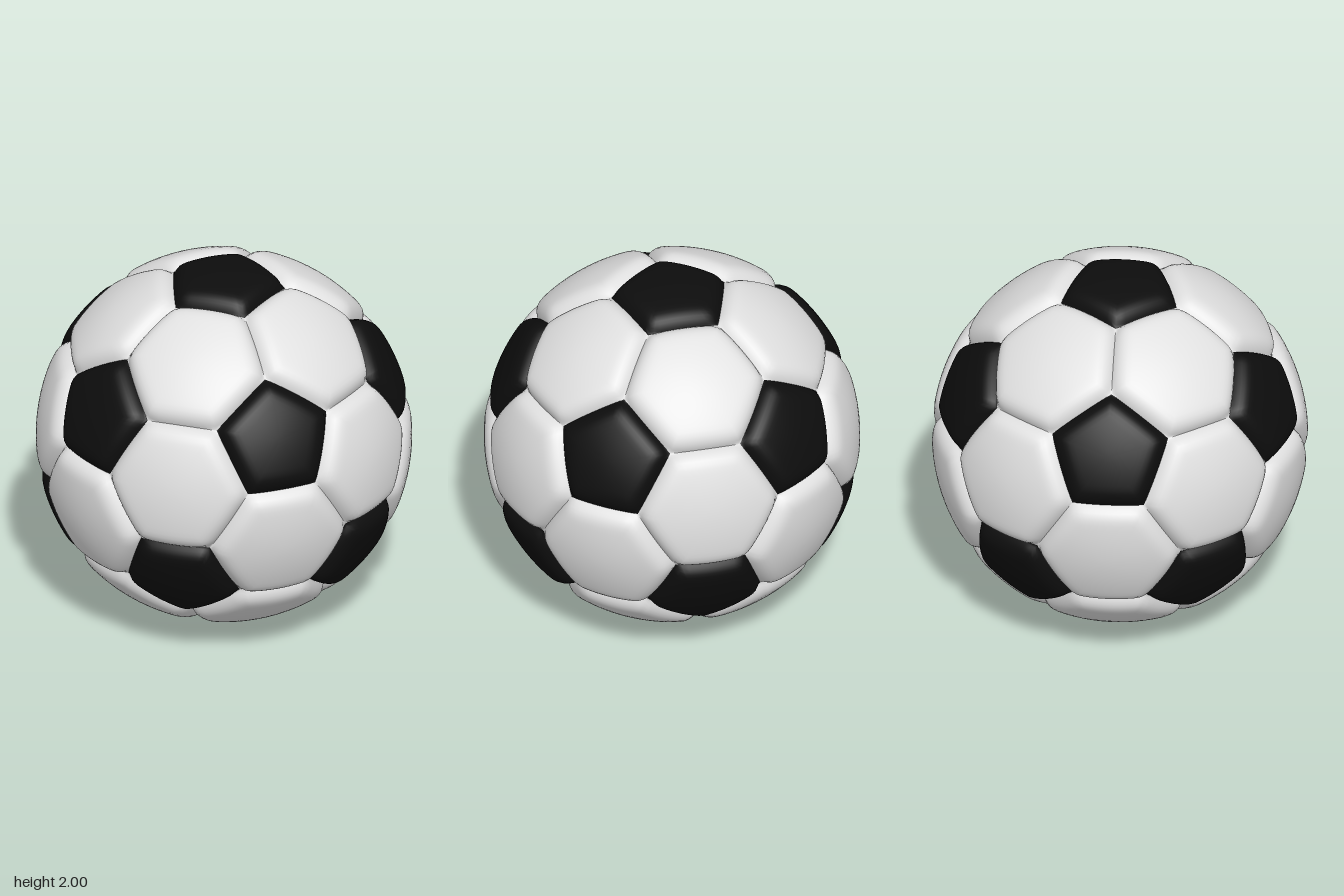
import * as THREE from 'three';

const SEAM_DEPTH = 0.055, SEAM_WIDTH = 0.12; // how deep and how wide the panels roll into the seams
const RINGS = 14, STEPS = 12;                // subdivision of each panel

// The twelve pentagon directions: two poles and two staggered rings of five
function pentagonCentres() {
  const y = 1 / Math.sqrt(5), r = 2 / Math.sqrt(5);
  const centres = [new THREE.Vector3(0, 1, 0), new THREE.Vector3(0, -1, 0)];
  for (let i = 0; i < 5; i++) {
    const a = (i * Math.PI * 2) / 5, b = a + Math.PI / 5;
    centres.push(new THREE.Vector3(r * Math.cos(a), y, r * Math.sin(a)));
    centres.push(new THREE.Vector3(r * Math.cos(b), -y, r * Math.sin(b)));
  }
  return centres;
}

// Sort corners counter-clockwise around the panel's axis
function sortCorners(axis, corners) {
  const u = corners[0].clone().projectOnPlane(axis).normalize();
  const v = axis.clone().cross(u);
  const angle = (p) => Math.atan2(p.dot(v), p.dot(u));
  return corners.sort((a, b) => angle(a) - angle(b));
}

// Puffed spherical polygon whose rim rolls down into the seam
function panelGeometry(axis, corners) {
  const n = corners.length, loop = n * STEPS;
  const edges = corners.map((c, i) => c.clone().cross(corners[(i + 1) % n]).normalize());
  const positions = [], indices = [];

  const addPoint = (p) => {
    p.normalize();
    let sum = 0;
    for (const e of edges) {
      const d = Math.asin(Math.max(0, p.dot(e)));
      sum += Math.pow(Math.max(0, 1 - d / SEAM_WIDTH), 6);
    }
    p.multiplyScalar(1 - SEAM_DEPTH * Math.min(1, Math.sqrt(sum)));
    positions.push(p.x, p.y, p.z);
  };

  addPoint(axis.clone());
  for (let k = 1; k <= RINGS; k++) {
    const s = 1 - Math.pow(1 - k / RINGS, 1.8); // rings crowd toward the rim
    for (let j = 0; j < loop; j++) {
      const i = Math.floor(j / STEPS);
      const rim = corners[i].clone().lerp(corners[(i + 1) % n], (j % STEPS) / STEPS).normalize();
      addPoint(axis.clone().lerp(rim, s));
    }
  }
  for (let j = 0; j < loop; j++) {
    const next = (j + 1) % loop;
    indices.push(0, 1 + j, 1 + next);
    for (let k = 0; k < RINGS - 1; k++) {
      const a = 1 + k * loop, b = a + loop;
      indices.push(a + j, b + j, b + next, a + j, b + next, a + next);
    }
  }
  const geometry = new THREE.BufferGeometry();
  geometry.setAttribute('position', new THREE.Float32BufferAttribute(positions, 3));
  geometry.setIndex(indices);
  geometry.computeVertexNormals();
  return geometry;
}

export function createModel() {
  const black = new THREE.MeshStandardMaterial({ name: 'black', color: 0x0d0d0d });
  const white = new THREE.MeshStandardMaterial({ name: 'white', color: 0xe0e0e0 });
  const ball = new THREE.Group();
  ball.name = 'ball';
  ball.position.y = 1;

  const centres = pentagonCentres();
  const near = (a, b) => a !== b && a.dot(b) > 0.4;
  const third = (a, b) => a.clone().lerp(b, 1 / 3).normalize();
  const addPanel = (name, axis, corners, material) => {
    const mesh = new THREE.Mesh(panelGeometry(axis, sortCorners(axis, corners)), material);
    mesh.name = name;
    ball.add(mesh);
  };

  // Black pentagons
  centres.forEach((c, i) => {
    const corners = centres.filter((o) => near(c, o)).map((o) => third(c, o));
    addPanel(`pentagonPanel${i + 1}`, c, corners, black);
  });

  // White hexagons, one between each three neighbouring pentagons
  let count = 0;
  for (let i = 0; i < 12; i++) for (let j = i + 1; j < 12; j++) for (let k = j + 1; k < 12; k++) {
    const [a, b, c] = [centres[i], centres[j], centres[k]];
    if (!near(a, b) || !near(b, c) || !near(a, c)) continue;
    const axis = a.clone().add(b).add(c).normalize();
    const corners = [third(a, b), third(b, a), third(b, c), third(c, b), third(c, a), third(a, c)];
    addPanel(`hexagonPanel${++count}`, axis, corners, white);
  }

  const model = new THREE.Group();
  model.name = 'soccerBall';
  model.add(ball);
  return model;
}
